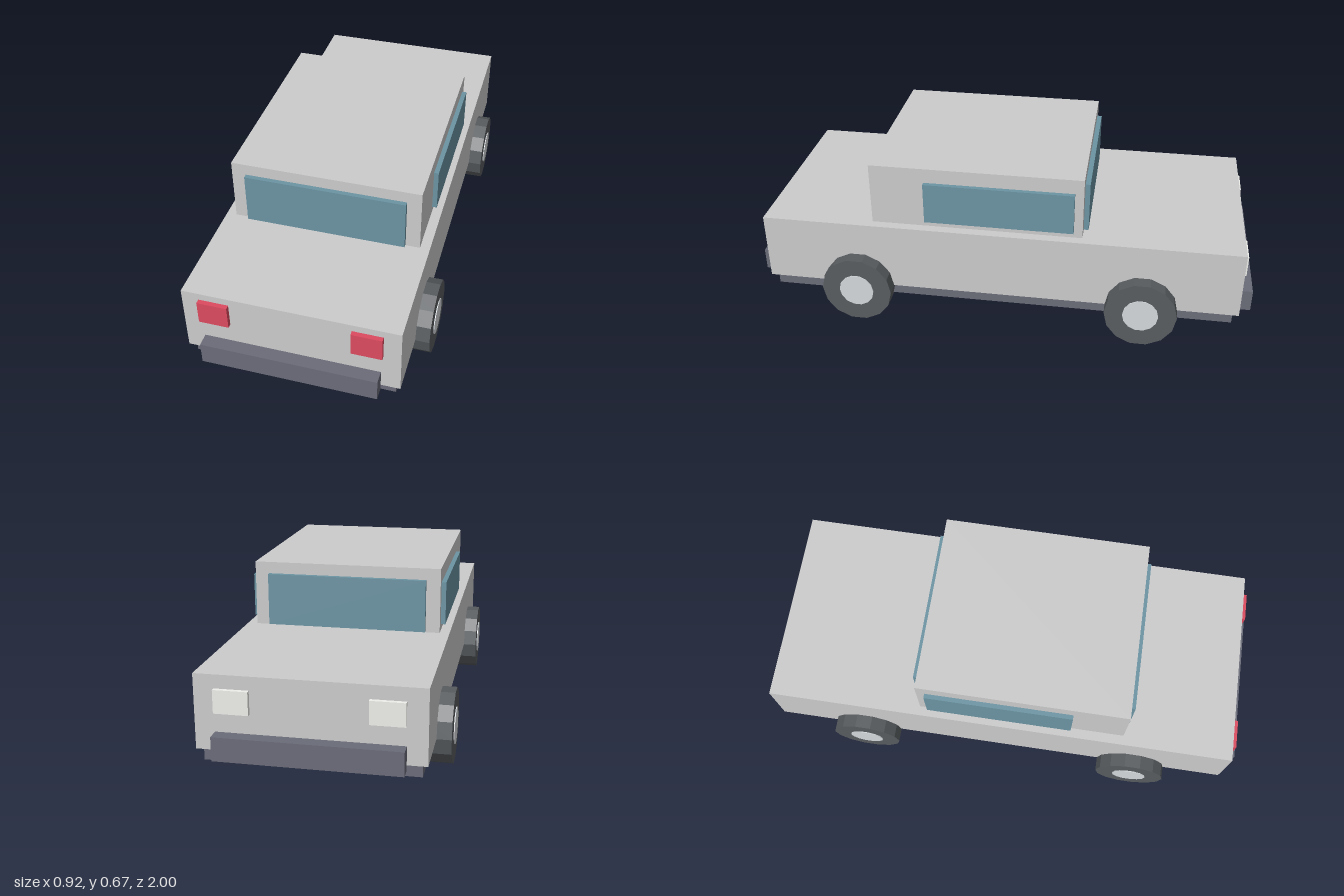
import * as THREE from 'three';

const mat = (color) => new THREE.MeshStandardMaterial({ color, flatShading: true });

export function createModel() {
  const car = new THREE.Group();
  car.name = 'car';

  const paint = mat(0xcccccc);
  const glass = mat(0x6c94a3);
  const trim = mat(0x6a6c78);
  const rubber = mat(0x585c5f);
  const metal = mat(0xd4d8dc);
  const red = mat(0xdc4a5f);
  const lamp = mat(0xeeeeea);

  // Box given by its minimum and maximum on each axis
  const box = (name, material, [x0, x1], [y0, y1], [z0, z1]) => {
    const mesh = new THREE.Mesh(new THREE.BoxGeometry(x1 - x0, y1 - y0, z1 - z0), material);
    mesh.position.set((x0 + x1) / 2, (y0 + y1) / 2, (z0 + z1) / 2);
    mesh.name = name;
    car.add(mesh);
  };

  // Body, cabin and chassis
  box('body', paint, [-0.403, 0.403], [0.14, 0.415], [-0.95, 0.95]);
  box('cabin', paint, [-0.365, 0.365], [0.415, 0.667], [-0.327, 0.508]);
  box('chassis', trim, [-0.383, 0.383], [0.09, 0.14], [-0.927, 0.927]);

  // Windscreens and bumpers
  box('frontWindow', glass, [-0.31, 0.31], [0.42, 0.622], [0.5, 0.526]);
  box('backWindow', glass, [-0.31, 0.31], [0.42, 0.622], [-0.346, -0.32]);
  box('frontBumper', trim, [-0.331, 0.331], [0.12, 0.208], [0.95, 1]);
  box('backBumper', trim, [-0.331, 0.331], [0.12, 0.208], [-1, -0.95]);

  // Axle-aligned cylinder
  const disc = (name, material, radius, width, sides) => {
    const mesh = new THREE.Mesh(new THREE.CylinderGeometry(radius, radius, width, sides), material);
    mesh.rotation.z = Math.PI / 2;
    mesh.name = name;
    return mesh;
  };

  for (const [side, s] of [['left', 1], ['right', -1]]) {
    const span = (a, b) => (s > 0 ? [a, b] : [-b, -a]);
    // Side windows and lights
    box(side + 'Window', glass, span(0.36, 0.383), [0.441, 0.608], [-0.293, 0.293]);
    box(side + 'RedLight', red, span(0.226, 0.339), [0.293, 0.387], [0.945, 0.968]);
    box(side + 'ClearLight', lamp, span(0.206, 0.33), [0.28, 0.365], [-0.966, -0.945]);

    // Wheels
    for (const [end, z] of [['Front', 0.57], ['Back', -0.57]]) {
      const wheel = new THREE.Group();
      wheel.name = side + end + 'Wheel';
      wheel.add(disc('tyre', rubber, 0.142, 0.09, 14));
      wheel.add(disc('hub', metal, 0.07, 0.097, 14));
      wheel.position.set(s * 0.412, 0.142 * Math.cos(Math.PI / 14), z);
      car.add(wheel);
    }
  }
  return car;
}
